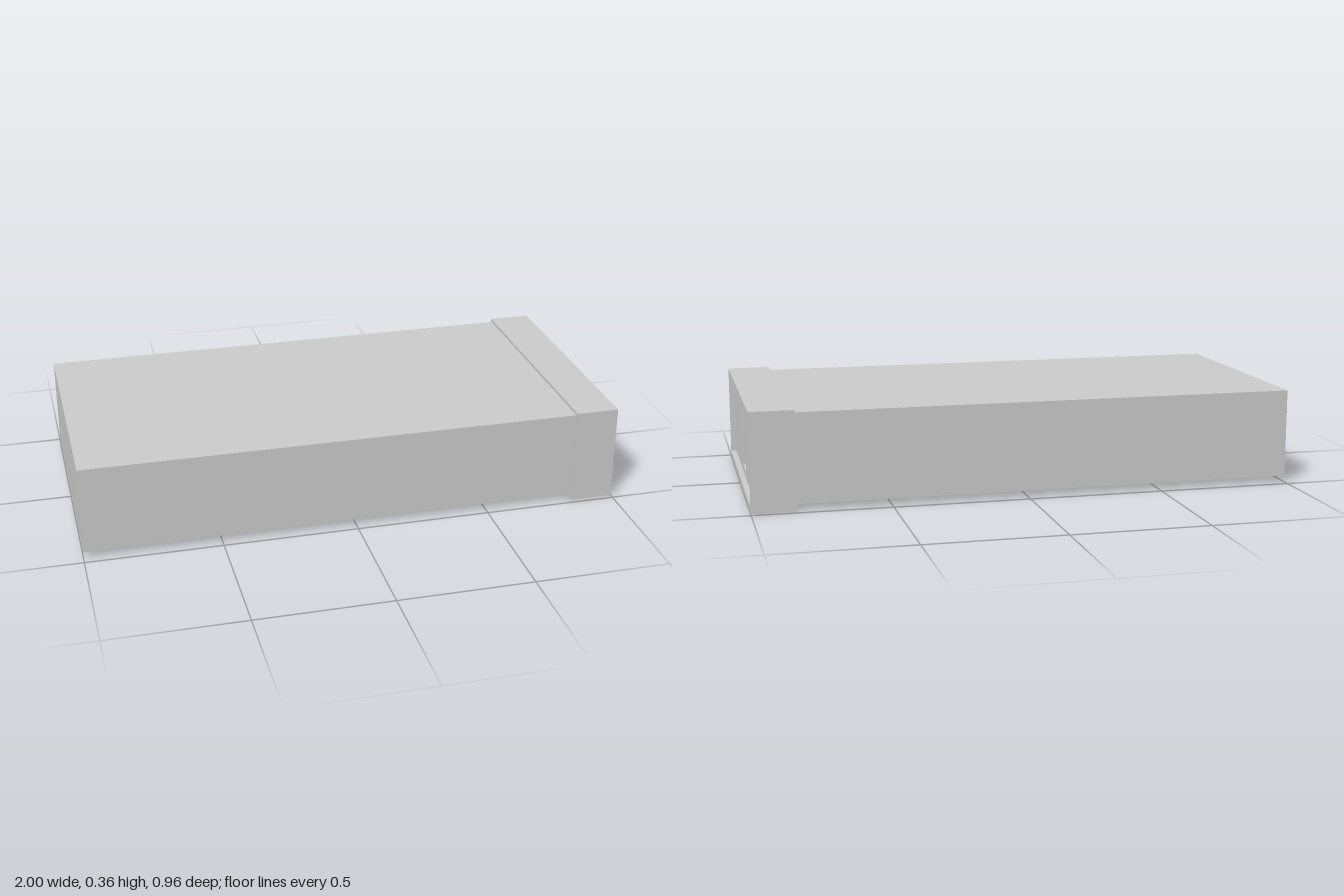
import * as THREE from 'three';

// Rectangle path in the (z, y) plane; extruding runs along x
function trace(path, [z0, z1, y0, y1]) {
  path.moveTo(-z1, y0);
  path.lineTo(-z0, y0);
  path.lineTo(-z0, y1);
  path.lineTo(-z1, y1);
  path.closePath();
  return path;
}

export function createModel() {
  const group = new THREE.Group();
  const material = new THREE.MeshStandardMaterial({ color: 0xcccccc });

  // Slab or ring between x0 and x1, with an optional rectangular opening
  function section(name, x0, x1, outer, hole) {
    const shape = trace(new THREE.Shape(), outer);
    if (hole) shape.holes.push(trace(new THREE.Path(), hole));
    const geometry = new THREE.ExtrudeGeometry(shape, { depth: x1 - x0, bevelEnabled: false });
    geometry.rotateY(Math.PI / 2).translate(x0, 0, 0);
    const mesh = new THREE.Mesh(geometry, material);
    mesh.name = name;
    group.add(mesh);
  }

  const body = [-0.47, 0.47, 0.024, 0.351];
  const room = [-0.45, 0.45, 0.063, 0.33];
  const door = [-0.045, 0.096, 0.048, 0.286];

  // Hollow body: closed far end, long shell, end wall with a doorway
  section('farWall', -1, -0.98, body);
  section('shell', -0.98, 0.96, body, room);
  section('doorWall', 0.96, 0.98, body, door);

  // Collar around the door end, standing slightly proud of it
  section('collar', 0.84, 1, [-0.481, 0.481, 0, 0.361], body);

  return group;
}
